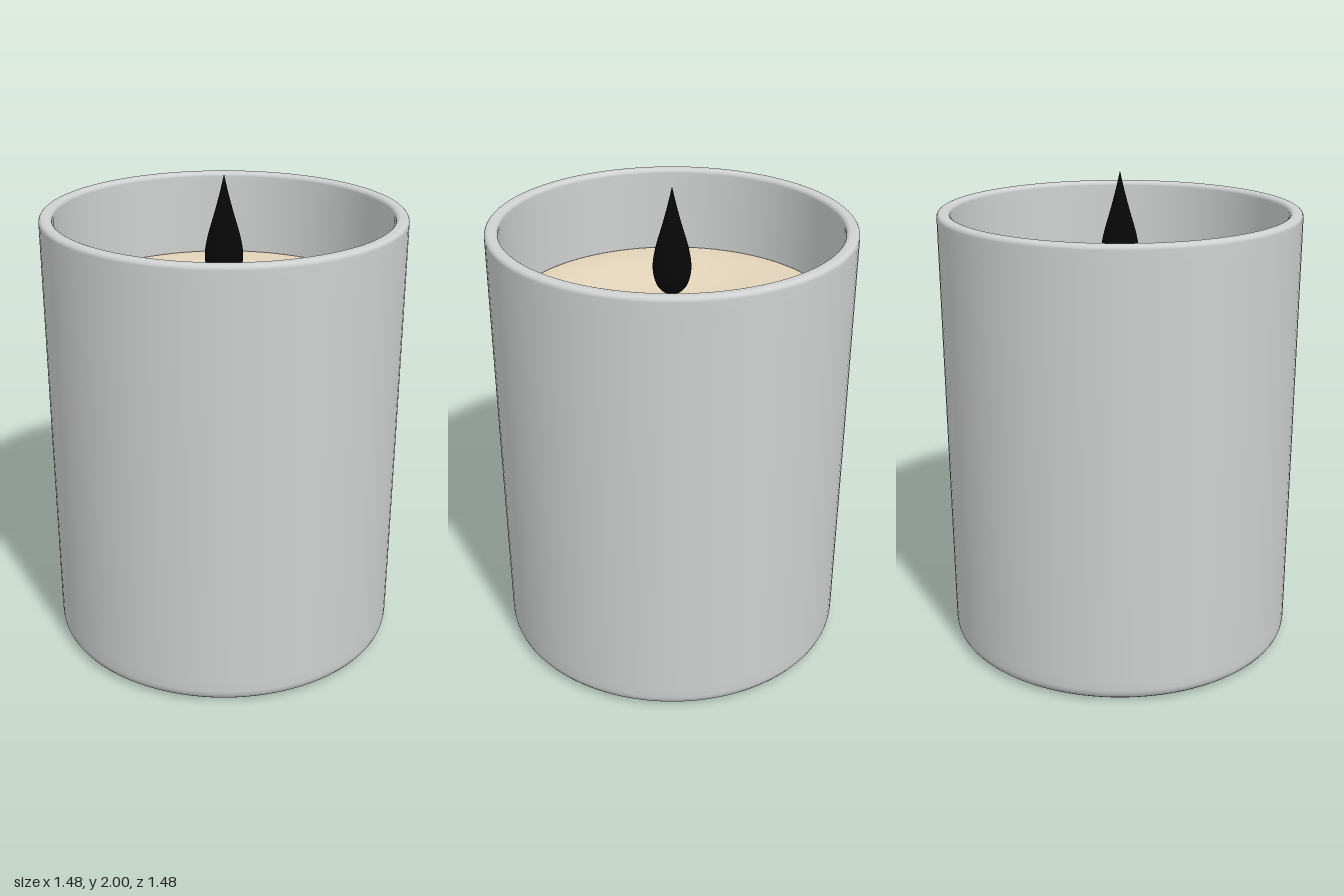
import * as THREE from 'three';

const vessel = new THREE.MeshStandardMaterial({ color: 0xcfd1d1 });
vessel.name = 'grey ceramic';
const wax = new THREE.MeshStandardMaterial({ color: 0xe2d3b9 });
wax.name = 'cream wax';
const black = new THREE.MeshStandardMaterial({ color: 0x080808 });
black.name = 'black';

// Profiles run from the bottom axis outward and up, so faces point outward.
function lathe(name, points, material, segments = 96) {
  const profile = points.map(([r, y]) => new THREE.Vector2(r, y));
  const mesh = new THREE.Mesh(new THREE.LatheGeometry(profile, segments), material);
  mesh.name = name;
  return mesh;
}

// Points on an arc, used to round the edges of a profile.
function arc(cx, cy, radius, from, to, steps = 6) {
  return Array.from({ length: steps + 1 }, (_, i) => {
    const a = THREE.MathUtils.degToRad(from + ((to - from) * i) / steps);
    return [cx + radius * Math.cos(a), cy + radius * Math.sin(a)];
  });
}

export function createModel() {
  const group = new THREE.Group();
  group.name = 'candle';

  // Thick-walled jar with a slight taper, rounded foot and rounded rim
  group.add(lathe('jar', [
    [0, 0], [0.66, 0], [0.67, 0],
    ...arc(0.675, 0.055, 0.055, -85, 0),
    [0.731, 0.1], [0.735, 0.9], [0.738, 1.78],
    ...arc(0.72, 1.832, 0.018, 0, 90),
    ...arc(0.703, 1.832, 0.018, 90, 180),
    [0.685, 1.78], [0.683, 1.2], [0.68, 0.12], [0.67, 0.1], [0, 0.1],
  ], vessel));

  // Wax fill with a shallow melted dip around the wick
  const dip = Array.from({ length: 21 }, (_, i) => {
    const r = 0.665 * (1 - i / 20);
    return [r, 1.49 - 0.05 * (1 - THREE.MathUtils.smoothstep(r, 0.22, 0.64))];
  });
  group.add(lathe('wax', [[0, 0.12], [0.67, 0.12], [0.678, 0.15], [0.678, 1.478], [0.675, 1.487], ...dip], wax));

  // Thin wick
  const wick = new THREE.Mesh(new THREE.CylinderGeometry(0.012, 0.012, 0.18, 16), black);
  wick.name = 'wick';
  wick.position.y = 1.51;
  group.add(wick);

  // Teardrop flame
  const outline = new THREE.SplineCurve([
    [0, 1.55], [0.035, 1.56], [0.064, 1.595], [0.078, 1.66], [0.068, 1.74], [0.037, 1.85], [0.016, 1.93], [0, 2],
  ].map(([r, y]) => new THREE.Vector2(r, y)));
  const flamePoints = outline.getPoints(40).map((p) => [Math.max(0, p.x), p.y]);
  group.add(lathe('flame', flamePoints, black, 48));

  return group;
}
